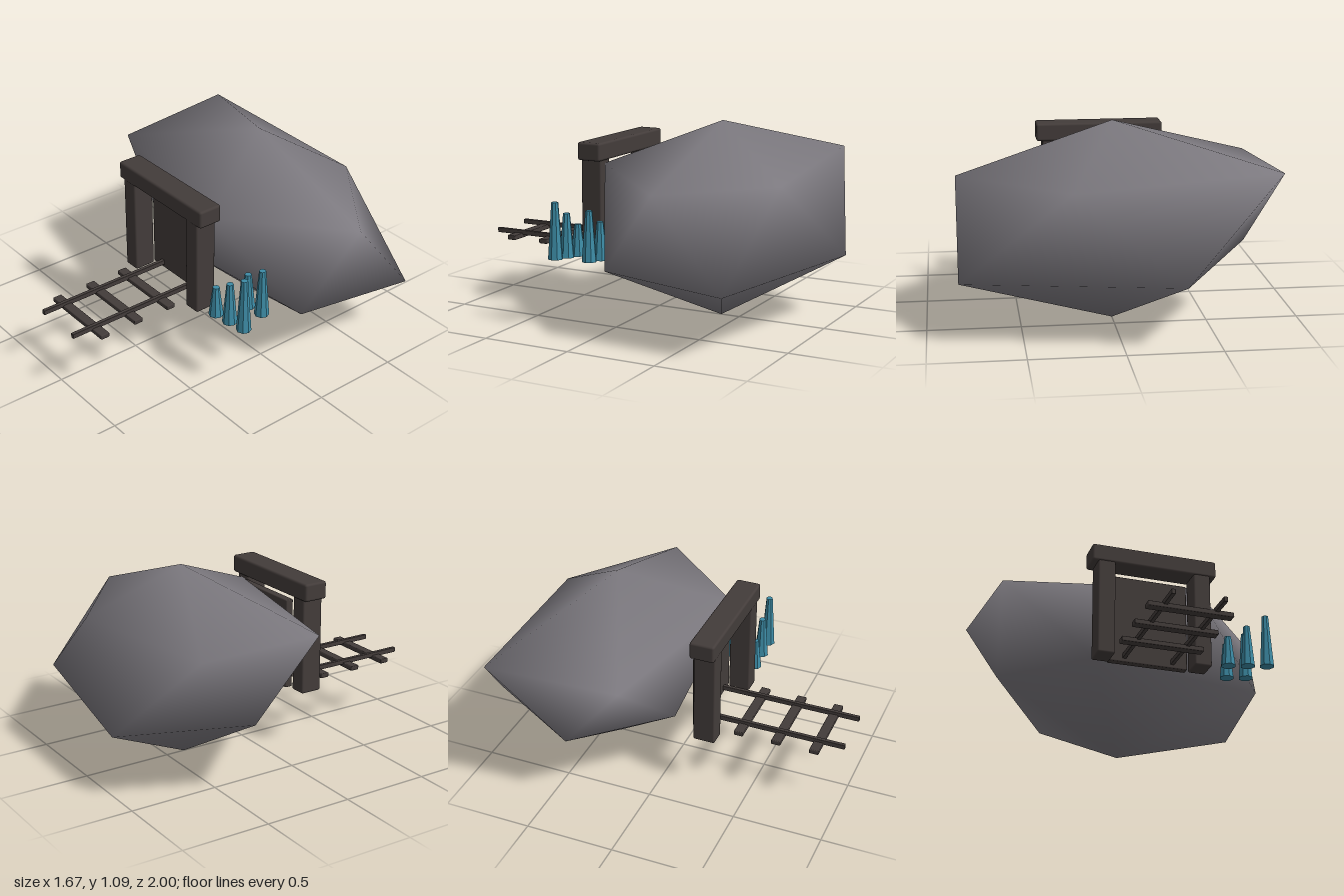
import * as THREE from 'three';
import { RoundedBoxGeometry } from 'three/addons/geometries/RoundedBoxGeometry.js';

const flat = (name, color, extra = {}) => {
  const m = new THREE.MeshStandardMaterial({ color, ...extra });
  m.name = name;
  return m;
};

// Boulder: two staggered five-point rings between a top and a bottom point
function boulderGeometry() {
  const upper = [[0.83, 0.81, -0.39], [0.25, 0.8, -0.84], [-0.84, 0.865, -0.78], [-0.78, 0.845, -0.04], [0.28, 0.85, 0.19]];
  const lower = [[0.83, 0.335, -0.78], [-0.31, 0.34, -1], [-0.72, 0.41, -0.39], [-0.27, 0.4, 0.06], [0.74, 0.37, -0.07]];
  const points = [...upper, ...lower, [0, 1.09, -0.39], [0, 0, -0.39]];
  const top = 10, bottom = 11, index = [];
  for (let i = 0; i < 5; i++) {
    const j = (i + 1) % 5;
    index.push(top, i, j, i, i + 5, j, i + 5, j + 5, j, i + 5, bottom, j + 5);
  }
  const g = new THREE.BufferGeometry();
  g.setAttribute('position', new THREE.Float32BufferAttribute(points.flat(), 3));
  g.setIndex(index);
  g.computeVertexNormals();
  return g;
}

export function createModel() {
  const model = new THREE.Group();
  model.name = 'mineEntrance';
  const rock = flat('rock grey', 0x7d7a80);
  const wood = flat('dark timber', 0x433c3a);
  const crystal = flat('blue crystal', 0x3d8ca6, { flatShading: true });

  const add = (name, geometry, material, x = 0, y = 0, z = 0) => {
    const mesh = new THREE.Mesh(geometry, material);
    mesh.name = name;
    mesh.position.set(x, y, z);
    model.add(mesh);
    return mesh;
  };
  const timber = (name, w, h, d, x, y, z, r) =>
    add(name, new RoundedBoxGeometry(w, h, d, 2, r), wood, x, y, z);

  add('boulder', boulderGeometry(), rock);

  // Door frame and closed door
  timber('lintel', 0.72, 0.1, 0.14, 0, 0.917, 0.248, 0.013);
  timber('door', 0.45, 0.515, 0.045, 0, 0.593, 0.169, 0.006);
  for (const side of [-1, 1]) {
    timber('post', 0.098, 0.56, 0.125, side * 0.276, 0.6, 0.252, 0.01);
    timber('rail', 0.022, 0.028, 0.867, side * 0.138, 0.37, 0.5665, 0.003);
  }

  // Track sleepers
  for (const z of [0.418, 0.635, 0.852])
    timber('sleeper', 0.46, 0.027, 0.053, 0, 0.353, z, 0.005);

  // Crystals in two staggered rows, growing towards the left side
  for (let i = 0; i < 5; i++) {
    const height = 0.175 + i * 0.033;
    const base = 0.355 + i * 0.007;
    add('crystal', new THREE.CylinderGeometry(0.019, 0.041, height, 8), crystal,
      0.437 + i * 0.0575, base + height / 2, i % 2 ? 0.098 : 0.272);
  }
  return model;
}
